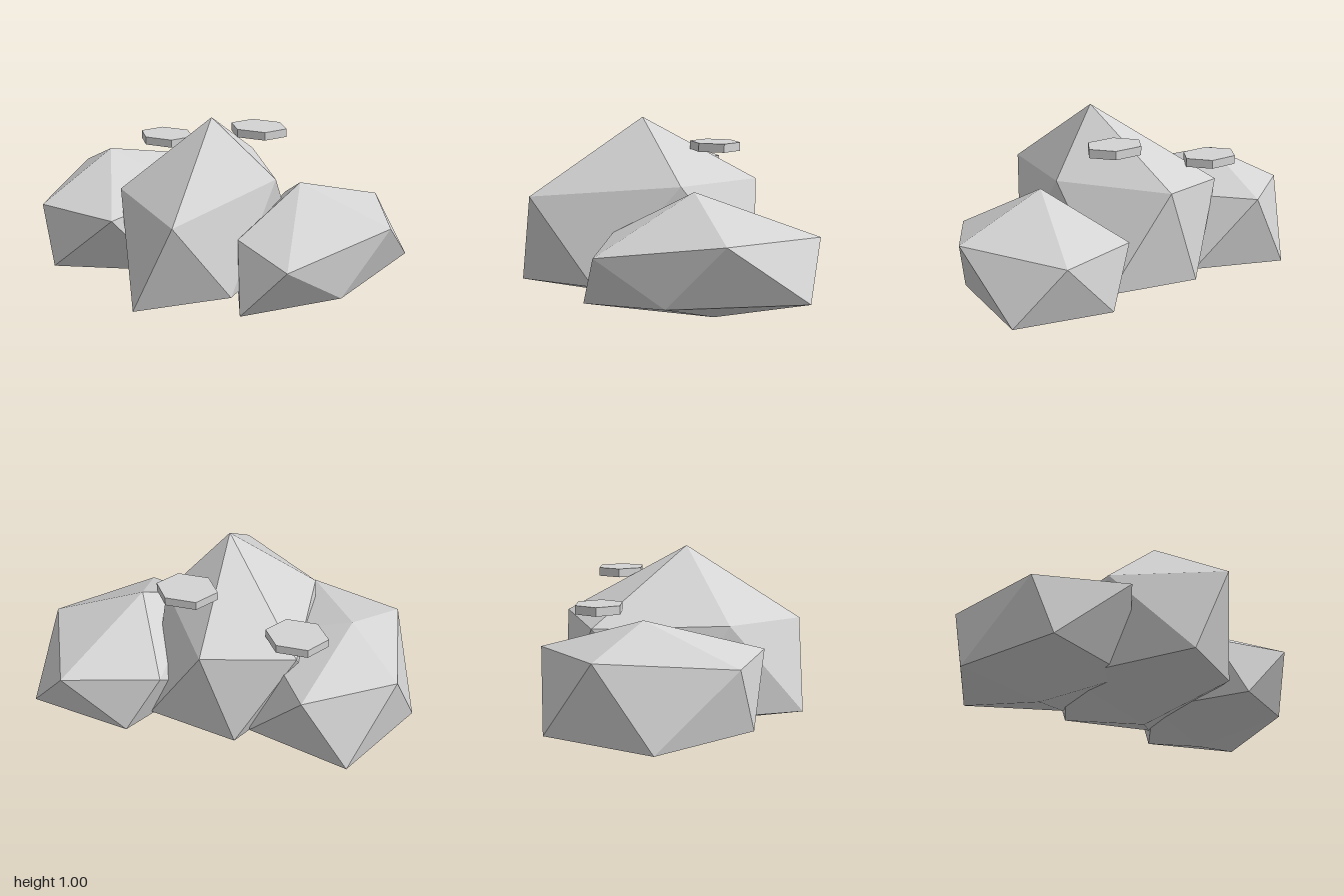
import * as THREE from 'three';

const stone = new THREE.MeshStandardMaterial({ color: 0xd4d4d4 });
stone.name = 'paleStoneGrey';

// Irregular twenty-sided boulder: apex, upper ring, staggered lower ring, base point.
// Rings run anticlockwise seen from above; lower[i] sits between upper[i] and upper[i + 1].
function boulder(name, top, upper, lower, bottom) {
  const pos = [];
  const face = (...corners) => corners.forEach((c) => pos.push(...c));
  for (let i = 0; i < 5; i++) {
    const j = (i + 1) % 5;
    face(top, upper[i], upper[j]);
    face(upper[i], lower[i], upper[j]);
    face(lower[i], lower[j], upper[j]);
    face(bottom, lower[j], lower[i]);
  }
  const geo = new THREE.BufferGeometry();
  geo.setAttribute('position', new THREE.Float32BufferAttribute(pos, 3));
  geo.computeVertexNormals(); // unshared corners give flat facets
  const mesh = new THREE.Mesh(geo, stone);
  mesh.name = name;
  return mesh;
}

// Thin hexagonal slab with points along x, slightly squashed in depth
function slab(name, x, y, z) {
  const geo = new THREE.CylinderGeometry(0.162, 0.162, 0.045, 6)
    .rotateY(Math.PI / 6)
    .scale(1, 1, 0.81)
    .toNonIndexed();
  geo.computeVertexNormals();
  const mesh = new THREE.Mesh(geo, stone);
  mesh.name = name;
  mesh.position.set(x, y, z);
  return mesh;
}

export function createModel() {
  const group = new THREE.Group();
  group.name = 'rockCluster';

  group.add(
    boulder('centerBoulder', [0.055, 1, 0.055],
      [[0.11, 0.6, 0.675], [0.375, 0.66, -0.07], [0.04, 0.65, -0.59], [-0.42, 0.61, -0.42], [-0.37, 0.62, 0.285]],
      [[0.305, 0.145, 0.38], [0.35, 0.15, -0.48], [-0.14, 0.15, -0.59], [-0.45, 0.14, 0], [-0.11, 0.12, 0.685]],
      [0.065, 0, -0.07]),
    boulder('rightBoulder', [-0.65, 0.69, -0.14],
      [[-0.335, 0.5, 0.465], [-0.15, 0.52, -0.12], [-0.5, 0.535, -0.665], [-0.93, 0.525, -0.37], [-0.83, 0.48, 0.33]],
      [[-0.18, 0.14, 0.18], [-0.2, 0.17, -0.51], [-0.74, 0.13, -0.63], [-1, 0.1, -0.075], [-0.73, 0.16, 0.4]],
      [-0.56, 0, -0.07]),
    boulder('leftBoulder', [0.5, 0.65, -0.105],
      [[0.63, 0.36, 0.445], [1, 0.455, -0.12], [0.76, 0.44, -0.685], [0.27, 0.43, -0.54], [0.295, 0.425, 0.27]],
      [[0.82, 0.13, 0.13], [0.985, 0.155, -0.55], [0.44, 0.13, -0.63], [0.14, 0.12, -0.1], [0.38, 0.08, 0.445]],
      [0.51, 0, -0.21]),
    slab('leftSlab', 0.182, 0.85, -0.31),
    slab('rightSlab', -0.41, 0.718, -0.38),
  );
  return group;
}
